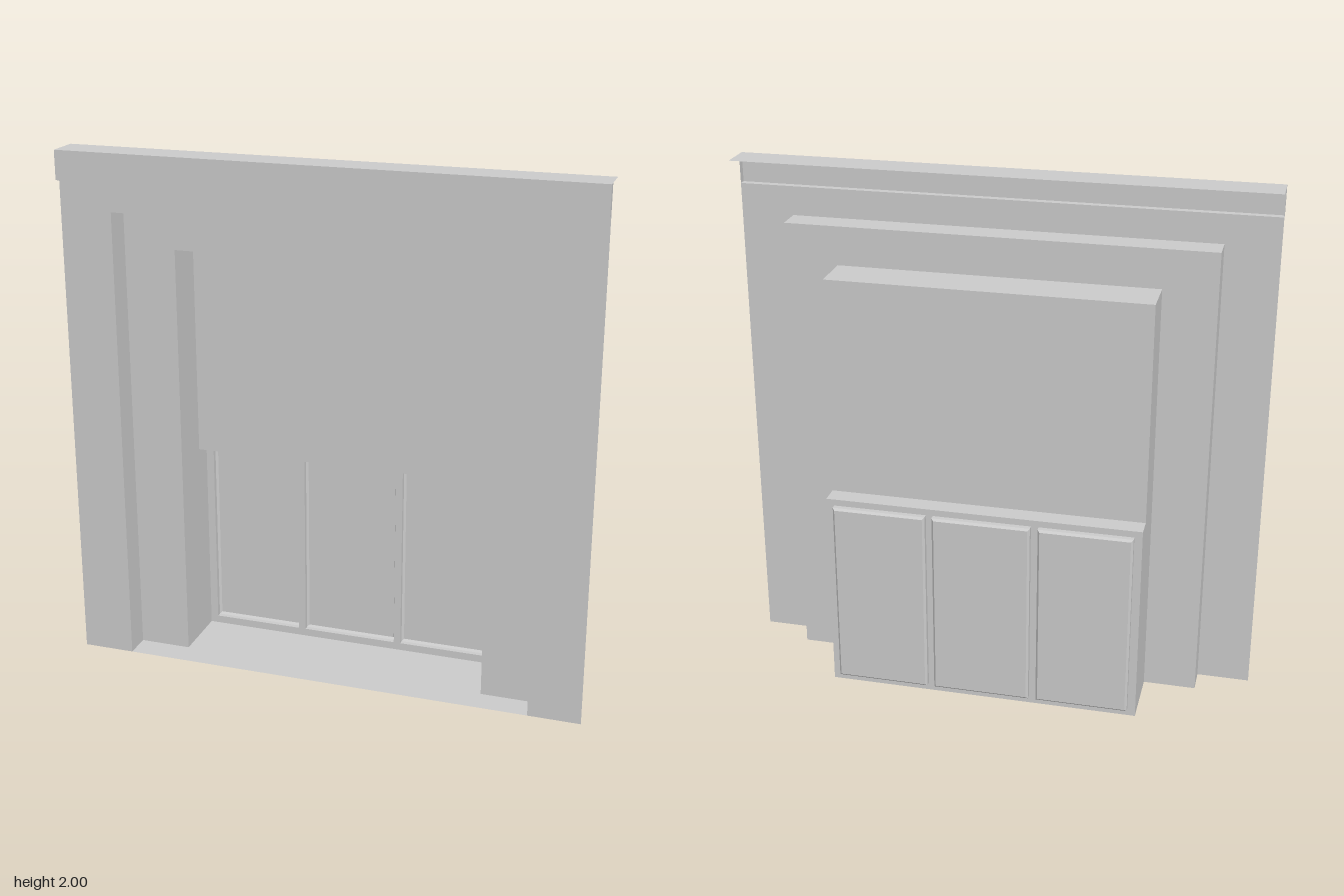
import * as THREE from 'three';

const material = new THREE.MeshStandardMaterial({ color: 0xcccccc, side: THREE.DoubleSide, flatShading: true });

// Depths, front to back
const Z = { fascia: 0.2, wall: 0.173, reveal: 0.07, upper: -0.099, frame: -0.173, glass: -0.2 };
const SILL = 0.79, EAVE = 1.89;

function add(parent, geometry, name) {
  const mesh = new THREE.Mesh(geometry, material);
  mesh.name = name;
  parent.add(mesh);
  return mesh;
}

function rectPoints(x0, x1, y0, y1) {
  return [[x0, y0], [x1, y0], [x1, y1], [x0, y1]].map(([x, y]) => new THREE.Vector2(x, y));
}

// Flat sheet from an outline, with optional holes, at depth z
function sheet(parent, name, points, z, holes = []) {
  const shape = new THREE.Shape(points);
  for (const hole of holes) shape.holes.push(new THREE.Path(hole));
  return add(parent, new THREE.ShapeGeometry(shape).translate(0, 0, z), name);
}

// Sheet standing up to the floor around a doorway-like opening
function archPoints(outer, top, inner, innerTop) {
  return [[-outer, 0], [-inner, 0], [-inner, innerTop], [inner, innerTop], [inner, 0], [outer, 0], [outer, top], [-outer, top]]
    .map(([x, y]) => new THREE.Vector2(x, y));
}

// Strip following a [z, y] profile, swept across the full width
function sweep(parent, name, profile, half) {
  const positions = [];
  for (let i = 0; i + 1 < profile.length; i++) {
    const [za, ya] = profile[i], [zb, yb] = profile[i + 1];
    positions.push(-half, ya, za, half, ya, za, half, yb, zb, -half, ya, za, half, yb, zb, -half, yb, zb);
  }
  const geometry = new THREE.BufferGeometry();
  geometry.setAttribute('position', new THREE.Float32BufferAttribute(positions, 3));
  geometry.computeVertexNormals();
  return add(parent, geometry, name);
}

// Mirrored pair of side sheets cut to a [z, y] outline
function sides(parent, name, outline, half) {
  for (const s of [-1, 1]) {
    const shape = new THREE.Shape(outline.map(([z, y]) => new THREE.Vector2(-z, y)));
    const mesh = add(parent, new THREE.ShapeGeometry(shape).rotateY(Math.PI / 2), (s > 0 ? 'left' : 'right') + name);
    mesh.position.x = s * half;
  }
}

// Shallow tray: straight rim, small chamfer, flat pane
function pane(parent, x0, x1, y0, y1) {
  const c = 0.008, positions = [];
  const rings = [[0, Z.frame], [0, Z.glass + c], [c, Z.glass]].map(([inset, z]) =>
    rectPoints(x0 + inset, x1 - inset, y0 + inset, y1 - inset).map((p) => [p.x, p.y, z]));
  for (let r = 0; r < 2; r++) {
    for (let i = 0; i < 4; i++) {
      const j = (i + 1) % 4;
      const a = rings[r][i], b = rings[r][j], d = rings[r + 1][j], e = rings[r + 1][i];
      positions.push(...a, ...b, ...d, ...a, ...d, ...e);
    }
  }
  const geometry = new THREE.BufferGeometry();
  geometry.setAttribute('position', new THREE.Float32BufferAttribute(positions, 3));
  geometry.computeVertexNormals();
  add(parent, geometry, 'paneRim');
  sheet(parent, 'pane', rectPoints(x0 + c, x1 - c, y0 + c, y1 - c), Z.glass);
}

export function createModel() {
  const model = new THREE.Group();
  model.name = 'shopfrontWall';

  // Front wall around the outer opening
  sheet(model, 'frontWall', archPoints(1, EAVE, 0.8, 1.78), Z.wall);

  // Outer reveal: floor, ceiling, sides and stepped-back face
  const reveal = [[Z.wall, 0], [Z.reveal, 0], [Z.reveal, 1.78], [Z.wall, 1.78]];
  sweep(model, 'revealFloor', reveal.slice(0, 2), 0.8);
  sweep(model, 'revealCeiling', reveal.slice(2), 0.8);
  sides(model, 'RevealSide', reveal, 0.8);
  sheet(model, 'revealFace', archPoints(0.8, 1.78, 0.6, 1.632), Z.reveal);

  // Inner recess, deeper below the sill
  const recess = [[Z.reveal, 0], [Z.frame, 0], [Z.frame, SILL], [Z.upper, SILL], [Z.upper, 1.632], [Z.reveal, 1.632]];
  sweep(model, 'recessFloor', recess.slice(0, 2), 0.6);
  sweep(model, 'upperPanel', recess.slice(2), 0.6);
  sides(model, 'RecessSide', recess, 0.6);

  // Window frame with three set-back panes
  const windows = new THREE.Group();
  windows.name = 'windows';
  model.add(windows);
  const bays = [[-0.57, -0.216], [-0.187, 0.186], [0.213, 0.57]];
  sheet(windows, 'windowFrame', rectPoints(-0.6, 0.6, 0, SILL), Z.frame,
    bays.map(([a, b]) => rectPoints(a, b, 0.03, 0.765)));
  for (const [a, b] of bays) pane(windows, a, b, 0.03, 0.765);

  // Cornice: flat top, fascia, soffit and end caps
  const cornice = [[Z.reveal, 2], [Z.fascia, 2], [Z.fascia, EAVE], [Z.wall, EAVE]];
  sweep(model, 'cornice', cornice, 1);
  sides(model, 'CorniceCap', [[Z.wall, EAVE], [Z.fascia, EAVE], [Z.fascia, 2], [Z.wall, 2]], 1);

  return model;
}
